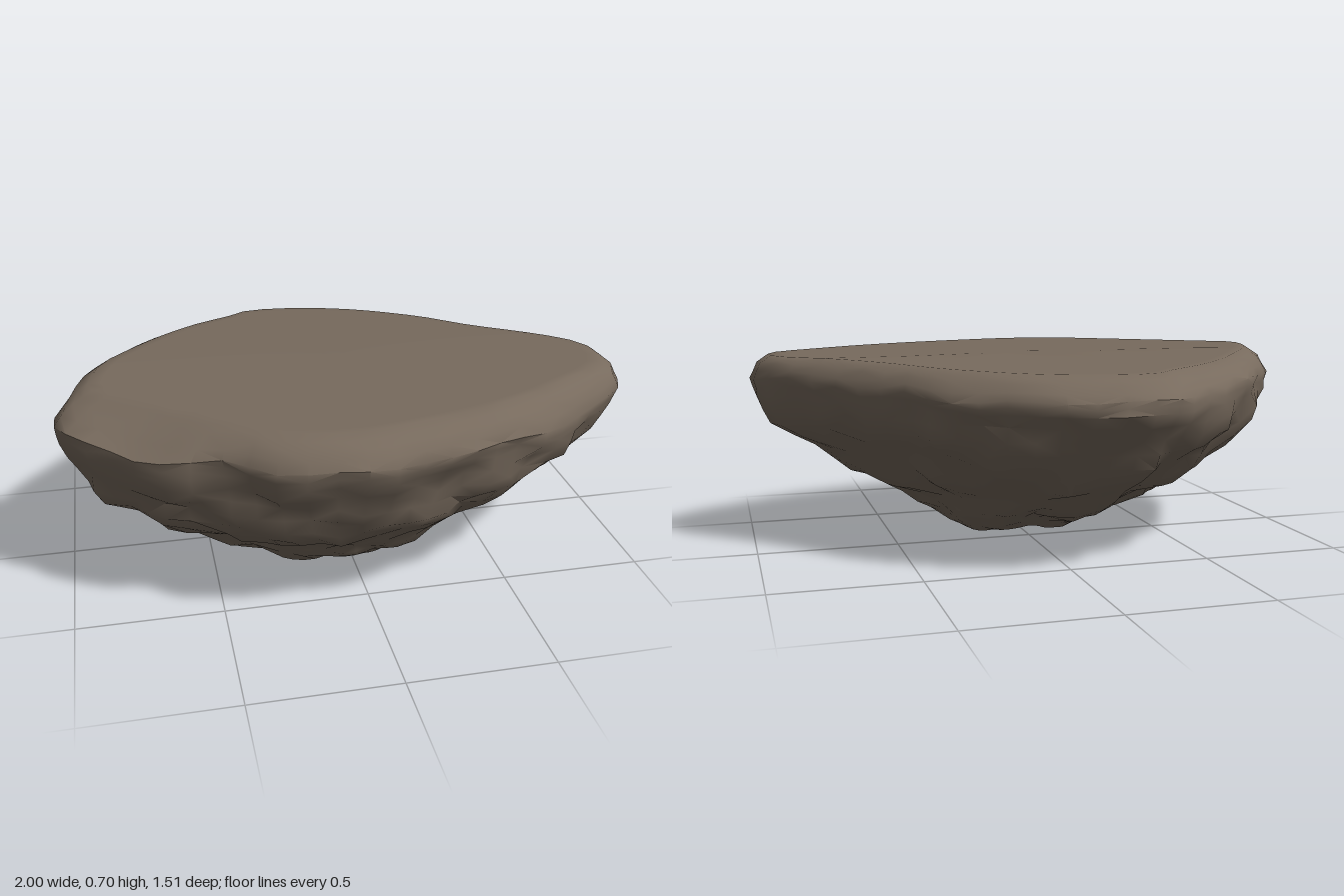
import * as THREE from 'three';
import { toCreasedNormals } from 'three/addons/utils/BufferGeometryUtils.js';

// Plan outline at the widest level (x, z), back -> left -> front -> right
const OUTLINE = [
  [-0.2, -0.76], [0, -0.73], [0.18, -0.66], [0.33, -0.56], [0.46, -0.45], [0.61, -0.28],
  [0.78, -0.13], [0.94, 0.01], [0.99, 0.1], [1, 0.19], [0.97, 0.28], [0.75, 0.45],
  [0.55, 0.57], [0.22, 0.69], [-0.12, 0.75], [-0.33, 0.7], [-0.48, 0.6], [-0.6, 0.57],
  [-0.8, 0.45], [-0.93, 0.34], [-1, 0.23], [-0.95, -0.07], [-0.85, -0.23],
  [-0.67, -0.45], [-0.5, -0.6], [-0.38, -0.67], [-0.3, -0.74],
];

// Extents of each horizontal slice: y, xMin, xMax, zMin, zMax
const LEVELS = [
  [0.70, -0.89, 0.93, -0.64, 0.65],
  [0.67, -0.95, 0.97, -0.70, 0.72],
  [0.61, -1, 1, -0.75, 0.76],
  [0.55, -0.99, 0.98, -0.75, 0.74],
  [0.45, -0.95, 0.92, -0.68, 0.70],
  [0.35, -0.87, 0.77, -0.60, 0.65],
  [0.25, -0.70, 0.63, -0.49, 0.57],
  [0.17, -0.58, 0.46, -0.32, 0.47],
  [0.09, -0.39, 0.33, -0.16, 0.42],
  [0.04, -0.29, 0.27, -0.06, 0.34],
  [0.0, -0.19, 0.19, 0.0, 0.22],
];
const SIDES = 56, STEPS = 2;

function hash(x, y, z) {
  const s = Math.sin(x * 127.1 + y * 311.7 + z * 74.7) * 43758.5453;
  return s - Math.floor(s);
}

// Chipped-stone noise: rounded lumps with creases between jittered cells
function chips(p, freq) {
  const q = p.clone().multiplyScalar(freq);
  const base = q.clone().floor();
  let near = 9, second = 9;
  for (let i = -1; i <= 1; i++) for (let j = -1; j <= 1; j++) for (let k = -1; k <= 1; k++) {
    const x = base.x + i, y = base.y + j, z = base.z + k;
    const d = Math.hypot(
      x + hash(x, y, z) - q.x, y + hash(y, z, x + 5) - q.y, z + hash(z, x, y + 9) - q.z);
    if (d < near) { second = near; near = d; } else if (d < second) second = d;
  }
  return Math.min(second - near, 0.45) - 0.2;
}

function slice(t) {
  const i = Math.min(Math.floor(t), LEVELS.length - 2);
  return LEVELS[i].map((v, k) => THREE.MathUtils.lerp(v, LEVELS[i + 1][k], t - i));
}

// Gentle fall of the top towards the back and the left
const topTilt = (x, z) => -0.06 * Math.max(0, -z - 0.1) - 0.005 * x;

// Point of the bare form on a slice, along plan point o
function formPoint(o, [y, x0, x1, z0, z1]) {
  const midZ = 0.11 * (1 - y / 0.7); // the keel sits a little forward
  const p = new THREE.Vector3(
    o.x < 0 ? -o.x * x0 : o.x * x1, y,
    midZ + (o.z < 0 ? (o.z / 0.76) * (midZ - z0) : (o.z / 0.76) * (z1 - midZ)));
  // long bevel along the front right of the flat top
  const over = -0.616 * p.x + 0.788 * p.z - (0.658 + (0.7 - y) * 2.1);
  if (y > 0.6 && over > 0) { p.x += 0.616 * over; p.z -= 0.788 * over; }
  return p;
}

// Add the rough flanks, the wavering rim and the notch under the rock
function roughen(p) {
  const y = p.y;
  p.y += topTilt(p.x, p.z) * THREE.MathUtils.smoothstep(y, 0.5, 0.7);
  const rim = Math.max(0, 1 - Math.abs(y - 0.6) / 0.1);
  p.y += 0.022 * rim * Math.sin(9 * p.x + 4 * p.z) * Math.cos(7 * p.z);
  const out = new THREE.Vector3(p.x, (y - 0.6) * 0.6, p.z).normalize();
  const fade = THREE.MathUtils.clamp((0.66 - y) / 0.16, 0, 1) * Math.min(1, 0.4 + y * 3);
  const bump = 0.1 * chips(p, 3.3) + 0.03 * chips(p, 6.5);
  p.addScaledVector(out, bump * fade);
  if (y < 0.1) p.y += 0.03 * Math.max(0, 1 - Math.abs(p.x) / 0.16);
  p.y = Math.max(p.y, 0);
  return p;
}

function rockGeometry() {
  const curve = new THREE.CatmullRomCurve3(
    OUTLINE.map(([x, z]) => new THREE.Vector3(x, 0, z)), true);
  const plan = curve.getSpacedPoints(SIDES).slice(0, SIDES);
  const points = [], index = [];

  // flat top: rings shrinking to the middle
  for (const inset of [0.35, 0.7, 0.95]) {
    for (const o of plan) {
      const p = formPoint(o, LEVELS[0]);
      p.x *= inset;
      p.z *= inset;
      p.y += topTilt(p.x, p.z);
      points.push(p);
    }
  }
  // rim, flanks and underside
  for (let s = 0; s <= (LEVELS.length - 1) * STEPS; s++) {
    const level = slice(s / STEPS);
    for (const o of plan) points.push(roughen(formPoint(o, level)));
  }
  const top = points.length, bottom = top + 1, last = top - SIDES;
  points.push(new THREE.Vector3(0, 0.7, 0), new THREE.Vector3(0, 0.03, 0.11));

  for (let j = 0; j < SIDES; j++) {
    const k = (j + 1) % SIDES;
    index.push(top, k, j, bottom, last + j, last + k);
    for (let a = 0; a < last; a += SIDES) {
      const b = a + SIDES;
      // alternate the diagonals for irregular facets
      if (hash(j, a, 3) > 0.5) index.push(a + j, a + k, b + j, a + k, b + k, b + j);
      else index.push(a + j, a + k, b + k, a + j, b + k, b + j);
    }
  }
  const geometry = new THREE.BufferGeometry().setFromPoints(points);
  geometry.setIndex(index);
  return toCreasedNormals(geometry, 0.9);
}

export function createModel() {
  const group = new THREE.Group();
  group.name = 'flatToppedRock';
  const rock = new THREE.Mesh(rockGeometry(), new THREE.MeshStandardMaterial({ color: 0x776a5d }));
  rock.name = 'rock';
  group.add(rock);
  return group;
}
